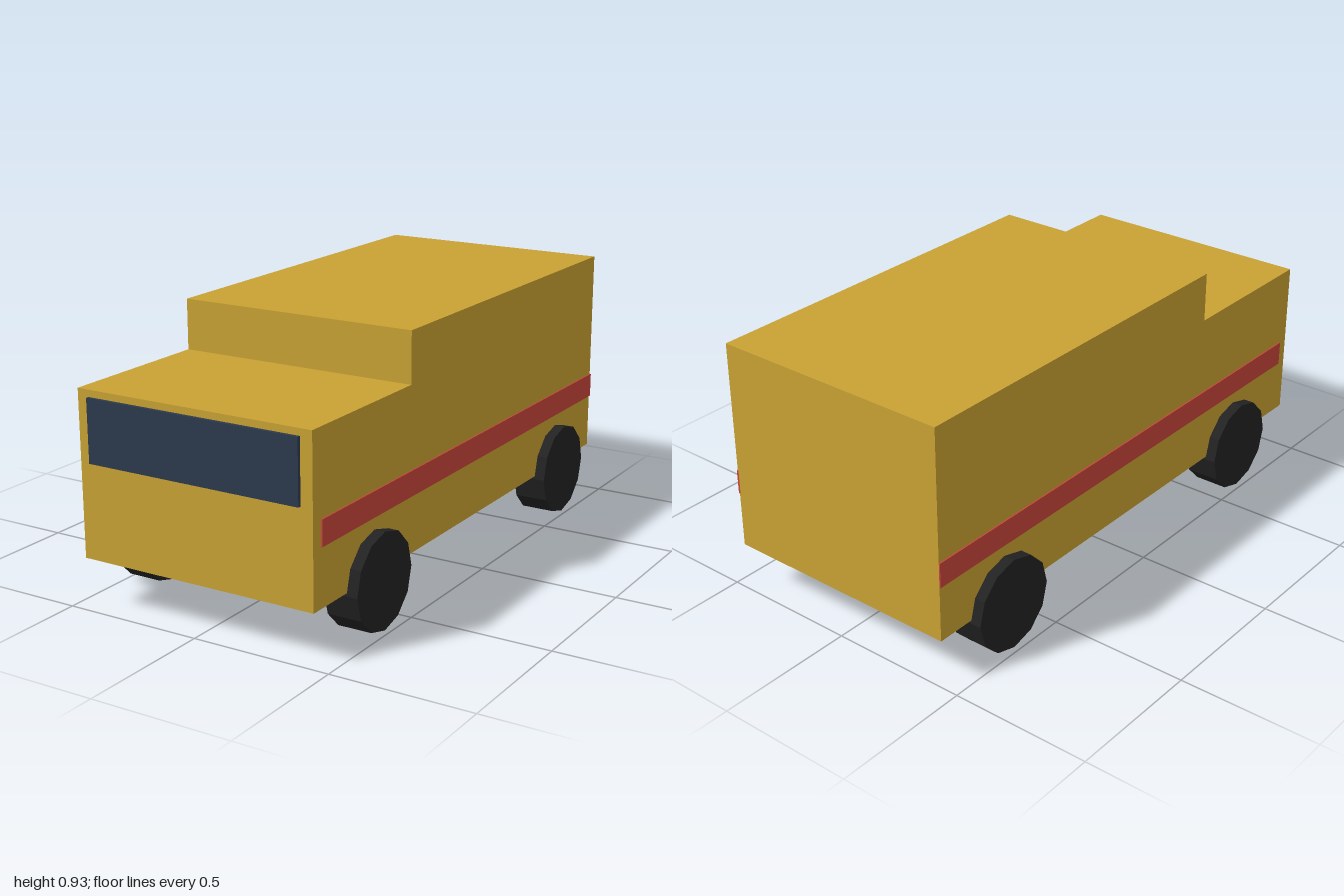
import * as THREE from 'three';

const material = (name, color, flatShading = false) => {
  const m = new THREE.MeshStandardMaterial({ color, flatShading });
  m.name = name;
  return m;
};

export function createModel() {
  const van = new THREE.Group();
  van.name = 'van';
  const paint = material('mustard paint', 0xc9a233);
  const red = material('red stripe', 0xc8463a);
  const glass = material('dark glass', 0x2c3a4e);
  const rubber = material('black rubber', 0x222222, true);

  const add = (name, geometry, mat, x = 0, y = 0, z = 0) => {
    const mesh = new THREE.Mesh(geometry, mat);
    mesh.name = name;
    mesh.position.set(x, y, z);
    van.add(mesh);
  };

  // Stepped body: side profile (z, y) extruded across the width
  const profile = new THREE.Shape([
    [-1, 0.178], [0.988, 0.178], [0.988, 0.752], [0.41, 0.752], [0.41, 0.93], [-1, 0.93],
  ].map(([z, y]) => new THREE.Vector2(z, y)));
  const body = new THREE.ExtrudeGeometry(profile, { depth: 0.882, bevelEnabled: false });
  body.translate(0, 0, -0.441).rotateY(-Math.PI / 2);
  add('body', body, paint);

  // Windscreen plate, just proud of the nose
  add('windscreen', new THREE.BoxGeometry(0.796, 0.218, 0.016), glass, 0, 0.619, 0.992);

  for (const [side, s] of [['left', 1], ['right', -1]]) {
    // Side stripe
    add(`${side}Stripe`, new THREE.BoxGeometry(0.008, 0.088, 1.945), red, s * 0.442, 0.421, -0.0275);
    // Twelve-sided wheels
    for (const [end, z] of [['Front', 0.635], ['Rear', -0.692]]) {
      const wheel = new THREE.CylinderGeometry(0.1675, 0.1675, 0.122, 12).rotateZ(Math.PI / 2);
      add(`${side}${end}Wheel`, wheel, rubber, s * 0.419, 0.1675, z);
    }
  }
  return van;
}
